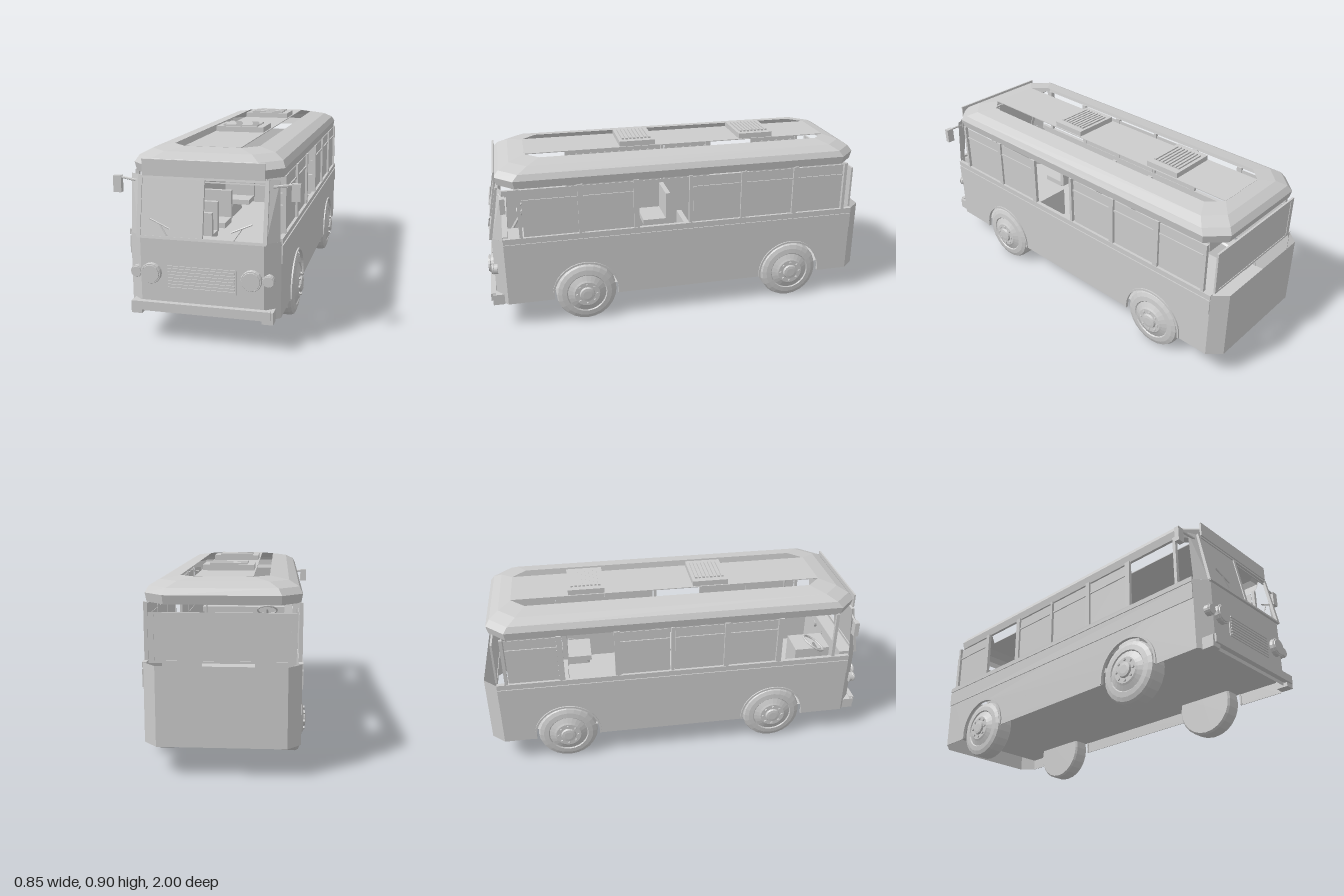
import * as THREE from 'three';

export function createModel() {
  const bus = new THREE.Group();
  bus.name = 'bus';
  const grey = new THREE.MeshStandardMaterial({ color: 0xcccccc, side: THREE.DoubleSide, flatShading: true });
  grey.name = 'light grey';

  const add = (name, geo, parent = bus) => {
    const m = new THREE.Mesh(geo, grey);
    m.name = name;
    parent.add(m);
    return m;
  };
  // box given by its limits on each axis
  const box = (name, x0, x1, y0, y1, z0, z1, parent = bus) =>
    add(name, new THREE.BoxGeometry(Math.abs(x1 - x0), y1 - y0, Math.abs(z1 - z0))
      .translate((x0 + x1) / 2, (y0 + y1) / 2, (z0 + z1) / 2), parent);
  // round bar between two points
  const rod = (name, a, b, r, parent = bus) =>
    add(name, new THREE.TubeGeometry(new THREE.LineCurve3(new THREE.Vector3(...a), new THREE.Vector3(...b)), 1, r, 6), parent);
  // skin through rows of points
  const skin = (rows, closed) => {
    const n = rows[0].length, index = [];
    for (let r = 0; r + 1 < rows.length; r++) {
      for (let i = 0; i < (closed ? n : n - 1); i++) {
        const j = (i + 1) % n, a = r * n + i, b = r * n + j, c = a + n, d = b + n;
        index.push(a, b, d, a, d, c);
      }
    }
    const g = new THREE.BufferGeometry();
    g.setAttribute('position', new THREE.Float32BufferAttribute(rows.flat(2), 3));
    g.setIndex(index);
    const flat = g.toNonIndexed();
    flat.computeVertexNormals();
    return flat;
  };
  // octagonal plan outline with cut corners
  const plan = (x, zf, zr, c, y) => [
    [x, y, zf - c], [x, y, zr + c], [x - c, y, zr], [c - x, y, zr],
    [-x, y, zr + c], [-x, y, zf - c], [c - x, y, zf], [x - c, y, zf]];

  const axles = [0.515, -0.6], axleY = 0.16;

  // lower side panels with wheel arches
  const side = new THREE.Shape();
  side.moveTo(-0.935, 0.14);
  for (const z of [...axles].reverse()) {
    side.lineTo(z - 0.166, 0.14);
    side.absarc(z, axleY, 0.167, Math.PI + 0.12, -0.12, true);
  }
  side.lineTo(0.915, 0.14);
  side.lineTo(0.915, 0.5);
  side.lineTo(-0.935, 0.5);
  const sideGeo = new THREE.ExtrudeGeometry(side, { depth: 0.004, bevelEnabled: false, curveSegments: 16 }).rotateY(-Math.PI / 2);
  add('rightSidePanel', sideGeo.clone().translate(0.345, 0, 0));
  add('leftSidePanel', sideGeo.clone().translate(-0.341, 0, 0));

  // front and rear lower walls with angled corners
  const wall = (pts, y0, y1) => skin([pts.map(([x, z]) => [x, y0, z]), pts.map(([x, z]) => [x, y1, z])], false);
  add('frontPanel', wall([[-0.345, 0.915], [-0.28, 0.97], [0.28, 0.97], [0.345, 0.915]], 0.14, 0.49));
  add('rearPanel', wall([[0.345, -0.935], [0.285, -1], [-0.285, -1], [-0.345, -0.935]], 0.14, 0.5));

  // raised floor inside the skirts
  const floor = new THREE.Shape([[0.341, 0.915], [0.28, 0.965], [-0.28, 0.965], [-0.341, 0.915],
    [-0.341, -0.935], [0.341, -0.935]].map(p => new THREE.Vector2(...p)));
  add('floor', new THREE.ShapeGeometry(floor).rotateX(Math.PI / 2).translate(0, 0.2, 0));

  // roof shell and centre strip, leaving two long skylights
  add('roofShell', skin([
    plan(0.338, 0.922, -0.945, 0.085, 0.757), plan(0.345, 0.935, -0.955, 0.09, 0.797),
    plan(0.33, 0.908, -0.935, 0.09, 0.826), plan(0.285, 0.855, -0.89, 0.085, 0.851),
    plan(0.2, 0.775, -0.83, 0.07, 0.865)], true));
  box('roofCentre', -0.13, 0.13, 0.862, 0.866, -0.83, 0.775);
  box('signBoard', -0.275, 0.275, 0.755, 0.828, 0.927, 0.936);

  // roof vents with slats
  for (const z of [0.195, -0.45]) {
    const vent = new THREE.Group();
    vent.name = 'roofVent';
    bus.add(vent);
    box('ventBase', -0.123, 0.123, 0.864, 0.893, z - 0.093, z + 0.093, vent);
    for (let i = 0; i < 8; i++) {
      const s = z - 0.07 + i * 0.02;
      box('ventSlat', -0.09, 0.09, 0.893, 0.901, s - 0.006, s + 0.006, vent);
    }
  }

  // side windows: posts, rails and panes; some windows stand open
  const posts = [0.825, 0.525, 0.245, -0.037, -0.32, -0.605, -0.885];
  const open = { 1: [2], '-1': [0, 4] };
  for (const s of [1, -1]) {
    const band = new THREE.Group();
    band.name = s > 0 ? 'rightWindows' : 'leftWindows';
    bus.add(band);
    posts.forEach((z, i) => {
      const w = i % 3 === 0 ? 0.008 : 0.014;
      box('windowPost', s * 0.33, s * 0.347, 0.5, 0.76, z - w, z + w, band);
      if (i === posts.length - 1 || open[s].includes(i)) return;
      const a = z - 0.015, b = posts[i + 1] + 0.012;
      box('sidePane', s * 0.333, s * 0.336, 0.5, 0.75, a, b, band);
      box('paneRail', s * 0.331, s * 0.342, 0.688, 0.698, a, b, band);
    });
    box('beltMoulding', s * 0.342, s * 0.35, 0.39, 0.47, -0.935, 0.915, band);
    box('windowSill', s * 0.33, s * 0.35, 0.478, 0.502, -0.935, 0.915, band);

    // front corner glass
    add('cornerPane', skin([[[s * 0.287, 0.49, 0.966], [s * 0.34, 0.49, 0.918]],
      [[s * 0.285, 0.757, 0.922], [s * 0.335, 0.757, 0.9]]], false), band);
  }

  // raked windscreen: frame, one fitted pane, wipers
  const screen = new THREE.Group();
  screen.name = 'windscreen';
  screen.position.set(0, 0.487, 0.974);
  screen.rotation.x = -Math.atan2(0.05, 0.268);
  bus.add(screen);
  for (const x of [-0.285, 0, 0.285]) box('screenPost', x - 0.009, x + 0.009, 0, 0.274, -0.008, 0.006, screen);
  for (const y of [0, 0.264]) box('screenRail', -0.29, 0.29, y - 0.004, y + 0.008, -0.008, 0.006, screen);
  box('screenInnerRail', 0.009, 0.276, 0.25, 0.256, -0.008, -0.002, screen);
  box('screenPane', -0.276, -0.009, 0.008, 0.262, -0.003, 0.001, screen);
  for (const s of [1, -1]) {
    rod('wiperArm', [s * 0.15, 0.01, 0.01], [s * 0.188, 0.067, 0.012], 0.003, screen);
    rod('wiperBlade', [s * 0.138, 0.044, 0.012], [s * 0.23, 0.084, 0.012], 0.004, screen);
  }

  // rear window
  box('rearPane', -0.3, 0.3, 0.5, 0.715, -0.938, -0.934);
  for (const s of [1, -1]) box('rearPaneEdge', s * 0.295, s * 0.32, 0.5, 0.722, -0.941, -0.931);
  for (const y of [0.5, 0.712]) box('rearPaneRail', -0.3, 0.3, y, y + 0.01, -0.941, -0.931);

  // grille
  box('grillePlate', -0.16, 0.16, 0.25, 0.362, 0.968, 0.975);
  for (let i = 0; i < 7; i++) {
    const y = 0.262 + i * 0.0145;
    box('grilleSlat', -0.153, 0.153, y - 0.003, y + 0.003, 0.974, 0.98);
  }

  // bumper, lamps, mirrors
  box('bumper', -0.313, 0.313, 0.155, 0.195, 0.974, 0.999);
  for (const s of [1, -1]) {
    box('bumperEnd', s * 0.275, s * 0.325, 0.134, 0.19, 0.932, 0.99);
    const lamp = (name, x, r, z) => {
      add(name, new THREE.CylinderGeometry(r * 0.85, r, 0.03, 16).rotateX(Math.PI / 2).translate(s * x, 0.326, z));
      add(name + 'Rim', new THREE.TorusGeometry(r * 0.93, r * 0.1, 6, 16).translate(s * x, 0.326, z + 0.006));
    };
    lamp('headlamp', 0.228, 0.046, 0.983);
    lamp('sideLamp', 0.3, 0.027, 0.968);
    rod('mirrorArm', [s * 0.308, 0.727, 0.915], [s * 0.395, 0.737, 0.9], 0.006);
    box('mirror', s * 0.385, s * 0.423, 0.667, 0.743, 0.888, 0.912);
  }

  // wheels with gently domed outer faces
  const tyreProfile = [[0, 0.253], [0.148, 0.253], [0.157, 0.262], [0.157, 0.325], [0.15, 0.341], [0.13, 0.349],
    [0.105, 0.352], [0.1, 0.347], [0.075, 0.358], [0.066, 0.363], [0.04, 0.363], [0.036, 0.373], [0.022, 0.375], [0, 0.375]]
    .map(([r, x]) => new THREE.Vector2(r, x));
  for (const s of [1, -1]) {
    axles.forEach((z, i) => {
      const wheel = new THREE.Group();
      wheel.name = i ? 'rearWheel' : 'frontWheel';
      wheel.position.set(0, axleY, z);
      wheel.rotation.z = -s * Math.PI / 2;
      bus.add(wheel);
      add('tyre', new THREE.LatheGeometry(tyreProfile, 24), wheel);
      for (let k = 0; k < 8; k++) {
        const a = k * Math.PI / 4;
        add('wheelNut', new THREE.CylinderGeometry(0.007, 0.007, 0.01, 6)
          .translate(0.053 * Math.cos(a), 0.366, 0.053 * Math.sin(a)), wheel);
      }
      // raised lip round the arch
      const lip = new THREE.Shape();
      lip.absarc(0, 0, 0.176, -0.1, Math.PI + 0.1, false);
      lip.absarc(0, 0, 0.166, Math.PI + 0.1, -0.1, true);
      add('archLip', new THREE.ExtrudeGeometry(lip, { depth: 0.016, bevelEnabled: false, curveSegments: 16 })
        .rotateY(-Math.PI / 2).translate(s * 0.344 + 0.008, axleY, z));
    });
  }

  // cabin: dashboard, benches, engine cover, driver seat, steering wheel, pole
  box('dashboard', -0.28, 0.28, 0.45, 0.485, 0.89, 0.96);
  for (const s of [1, -1]) {
    for (const z of [-0.6, -0.04, 0.24]) {
      box('benchBack', s * 0.13, s * 0.32, 0.32, 0.485, z, z + 0.027);
      box('benchCushion', s * 0.13, s * 0.32, 0.3, 0.33, z + 0.02, z + 0.16);
    }
  }
  box('engineCover', -0.07, 0.09, 0.2, 0.38, 0.72, 0.92);
  box('driverSeat', -0.24, -0.09, 0.3, 0.33, 0.5, 0.63);
  box('driverSeatBack', -0.24, -0.09, 0.31, 0.485, 0.48, 0.505);
  add('steeringWheel', new THREE.TorusGeometry(0.065, 0.006, 6, 20).rotateX(-1).translate(-0.165, 0.48, 0.78));
  rod('steeringColumn', [-0.165, 0.48, 0.78], [-0.165, 0.3, 0.89], 0.008);
  rod('handPole', [0.237, 0.2, 0.72], [0.237, 0.757, 0.72], 0.005);

  return bus;
}
